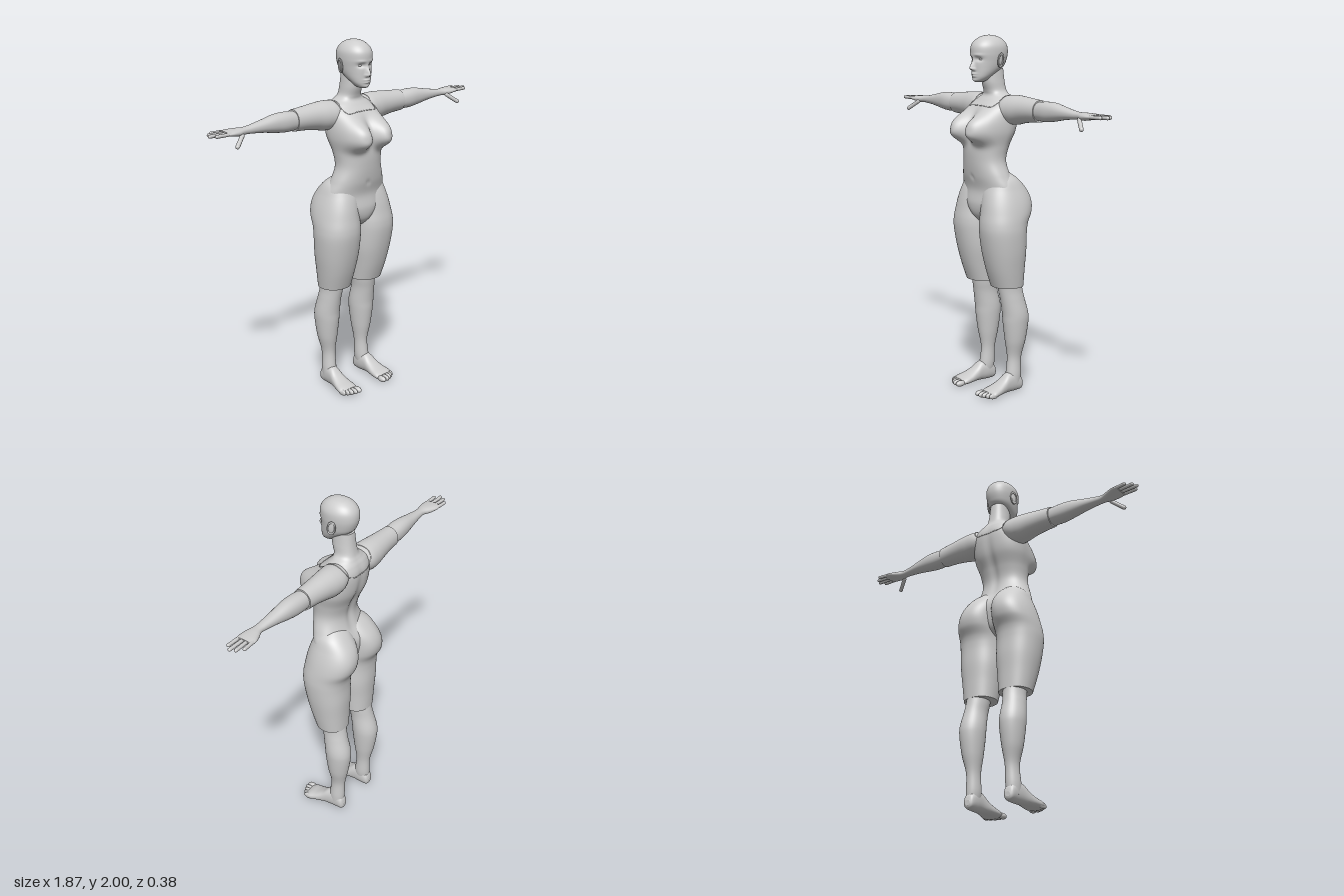
import * as THREE from 'three';

const grey = new THREE.MeshStandardMaterial({ color: 0xcccccc });
grey.name = 'plain grey';

// Catmull-Rom blend of the four neighbouring cross-sections
const blend = (a, b, c, d, s) => a.map((_, k) => 0.5 * (2 * b[k] + (c[k] - a[k]) * s
  + (2 * a[k] - 5 * b[k] + 4 * c[k] - d[k]) * s * s + (3 * b[k] - a[k] - 3 * c[k] + d[k]) * s ** 3));

// Smooth skin over rings [t, uMin, uMax, vMin, vMax]; (u, v, t) is (z, x, y), (y, z, x) or (x, y, z)
function loft(axis, rings, { n = 40, power = 2, steps = 8, deform = null } = {}) {
  const place = { y: (u, v, t) => [v, t, u], x: (u, v, t) => [t, u, v], z: (u, v, t) => [u, v, t] }[axis];
  const at = i => rings[Math.min(Math.max(i, 0), rings.length - 1)];
  const slices = [];
  for (let i = 0; i < rings.length - 1; i++)
    for (let s = 0; s < steps; s++) slices.push(blend(at(i - 1), at(i), at(i + 1), at(i + 2), s / steps));
  slices.push(at(rings.length - 1));
  const pos = [], idx = [];
  const round = q => Math.sign(q) * Math.abs(q) ** (2 / power);
  const addRing = ([t, u0, u1, v0, v1]) => {
    for (let j = 0; j < n; j++) {
      const a = j / n * Math.PI * 2;
      const p = new THREE.Vector3(...place((u0 + u1) / 2 + round(Math.cos(a)) * (u1 - u0) / 2,
        (v0 + v1) / 2 + round(Math.sin(a)) * (v1 - v0) / 2, t));
      if (deform) deform(p);
      pos.push(p.x, p.y, p.z);
    }
  };
  slices.forEach(addRing);
  for (let i = 0; i < slices.length - 1; i++)
    for (let j = 0; j < n; j++) {
      const a = i * n + j, b = i * n + (j + 1) % n;
      idx.push(a, b, a + n, b, b + n, a + n);
    }
  // flat end caps with their own vertices
  for (const end of [0, 1]) {
    const r = slices[end ? slices.length - 1 : 0], first = pos.length / 3;
    addRing(r);
    pos.push(...place((r[1] + r[2]) / 2, (r[3] + r[4]) / 2, r[0]));
    for (let j = 0; j < n; j++) {
      const a = first + j, b = first + (j + 1) % n;
      idx.push(...(end ? [a, b, first + n] : [b, a, first + n]));
    }
  }
  const g = new THREE.BufferGeometry();
  g.setAttribute('position', new THREE.Float32BufferAttribute(pos, 3));
  g.setIndex(idx);
  g.computeVertexNormals();
  return g;
}

const ellipsoid = (x, y, z, rx, ry, rz) =>
  new THREE.SphereGeometry(1, 20, 14).scale(rx, ry, rz).translate(x, y, z);

// Rounded finger between two points
function finger(a, b, r) {
  const A = new THREE.Vector3(...a), d = new THREE.Vector3(...b).sub(A), len = d.length();
  const g = new THREE.CapsuleGeometry(r, len - r, 6, 12);
  g.applyQuaternion(new THREE.Quaternion().setFromUnitVectors(new THREE.Vector3(0, 1, 0), d.clone().normalize()));
  return g.translate(...A.addScaledVector(d, 0.5).toArray());
}

function mirrored(g) {
  const m = g.clone(), p = m.attributes.position, nrm = m.attributes.normal, ix = m.index.array;
  for (let i = 0; i < p.count; i++) { p.setX(i, -p.getX(i)); nrm.setX(i, -nrm.getX(i)); }
  for (let i = 0; i < ix.length; i += 3) [ix[i], ix[i + 1]] = [ix[i + 1], ix[i]];
  return m;
}

const bump = (dx, dy, k = 2) => Math.exp(-(Math.hypot(dx, dy) ** k));

export function createModel() {
  const model = new THREE.Group();
  model.name = 'figure';
  const add = (name, g) => {
    const m = new THREE.Mesh(g, grey);
    m.name = name;
    model.add(m);
    return m;
  };
  const pair = (name, g) => [add(name + 'Left', g), add(name + 'Right', mirrored(g))];

  // Torso and neck, with bust and spine groove
  const torso = add('torso', loft('y', [
    [0.98, -0.06, 0.06, -0.03, 0.03], [1.02, -0.1, 0.095, -0.09, 0.09], [1.08, -0.12, 0.107, -0.16, 0.16],
    [1.16, -0.125, 0.098, -0.195, 0.195], [1.24, -0.085, 0.115, -0.168, 0.168], [1.32, -0.07, 0.125, -0.14, 0.14],
    [1.4, -0.09, 0.127, -0.145, 0.145], [1.48, -0.125, 0.112, -0.162, 0.162], [1.55, -0.14, 0.1, -0.165, 0.165],
    [1.61, -0.142, 0.075, -0.158, 0.158], [1.65, -0.13, 0.038, -0.13, 0.13], [1.675, -0.115, 0.018, -0.09, 0.09],
    [1.7, -0.103, 0.02, -0.062, 0.062], [1.75, -0.093, 0.035, -0.055, 0.055], [1.82, -0.085, 0.04, -0.05, 0.05],
  ], {
    n: 96, power: 2.2, deform: p => {
      const front = THREE.MathUtils.smoothstep(p.z, -0.01, 0.05), dy = p.y - 1.49;
      p.z += 0.1 * front * bump((Math.abs(p.x) - 0.088) / 0.077, dy / (dy > 0 ? 0.095 : 0.066), 3);
      if (p.z < -0.05) p.z += 0.012 * bump(p.x / 0.025, (p.y - 1.4) / 0.2);
      p.z -= 0.006 * front * bump(p.x / 0.012, (p.y - 1.23) / 0.015);
    },
  }));

  // Shorts legs, carrying the hips and seat
  pair('shortsLeg', loft('y', [
    [0.62, -0.127, 0.047, 0.025, 0.21], [0.72, -0.13, 0.08, 0.014, 0.227], [0.82, -0.135, 0.105, 0.002, 0.242],
    [0.92, -0.135, 0.122, 0, 0.25], [0.98, -0.145, 0.124, 0, 0.248], [1.04, -0.176, 0.116, 0, 0.24],
    [1.1, -0.182, 0.106, -0.002, 0.226], [1.16, -0.16, 0.09, -0.005, 0.205], [1.22, -0.11, 0.065, 0, 0.178],
    [1.26, -0.06, 0.03, 0.02, 0.13],
  ], { n: 56, power: 2.2 }));

  // Lower legs
  pair('lowerLeg', loft('y', [
    [0.04, -0.12, -0.03, 0.1, 0.165], [0.1, -0.125, -0.033, 0.09, 0.168], [0.2, -0.128, -0.043, 0.09, 0.164],
    [0.3, -0.15, -0.028, 0.076, 0.187], [0.4, -0.165, -0.015, 0.066, 0.2], [0.46, -0.163, -0.01, 0.064, 0.202],
    [0.54, -0.142, 0.003, 0.068, 0.192], [0.6, -0.13, 0.015, 0.064, 0.185], [0.68, -0.12, 0.03, 0.06, 0.185],
  ]));

  // Feet and toes
  pair('foot', loft('z', [
    [-0.132, 0.115, 0.145, 0.022, 0.05], [-0.12, 0.1, 0.16, 0.006, 0.085], [-0.08, 0.094, 0.166, 0.002, 0.12],
    [-0.03, 0.094, 0.172, 0.003, 0.112], [0.01, 0.09, 0.181, 0.003, 0.082], [0.05, 0.084, 0.192, 0.001, 0.06],
    [0.09, 0.081, 0.2, 0, 0.046], [0.115, 0.088, 0.19, 0.004, 0.034],
  ], { power: 2.3 }));
  [[0.098, 0.13, 0.017], [0.126, 0.13, 0.012], [0.148, 0.122, 0.012], [0.168, 0.111, 0.011], [0.186, 0.098, 0.011]]
    .forEach(([x, z, r], i) => pair('toe' + (i + 1), ellipsoid(x, 0.018, z, r, 0.017, 0.031)));

  // Shoulders with short sleeves, then bare forearms and palms
  const sleeves = pair('sleeve', loft('x', [
    [0.06, 1.57, 1.66, -0.11, 0], [0.12, 1.53, 1.678, -0.135, 0.025], [0.18, 1.522, 1.682, -0.135, 0.022],
    [0.25, 1.535, 1.678, -0.125, 0.012], [0.32, 1.545, 1.672, -0.115, 0.006], [0.39, 1.549, 1.667, -0.108, 0.002],
  ]));
  pair('forearm', loft('x', [
    [0.36, 1.56, 1.655, -0.1, -0.005], [0.45, 1.557, 1.663, -0.1, 0], [0.52, 1.565, 1.66, -0.094, -0.004],
    [0.6, 1.579, 1.645, -0.081, -0.01], [0.68, 1.588, 1.632, -0.068, -0.015], [0.72, 1.59, 1.628, -0.067, -0.014],
    [0.76, 1.588, 1.628, -0.085, -0.004], [0.8, 1.594, 1.626, -0.1, 0], [0.835, 1.6, 1.622, -0.1, -0.004],
  ], { power: 2.2 }));
  [[-0.09, -0.096, 0.89], [-0.064, -0.07, 0.922], [-0.04, -0.042, 0.935], [-0.014, -0.014, 0.912]]
    .forEach(([z0, z1, x], i) => pair('finger' + (i + 1), finger([0.81, 1.611, z0], [x - 0.005, 1.612, z1], 0.0095)));
  pair('thumb', finger([0.745, 1.597, -0.015], [0.81, 1.548, 0.024], 0.0115));

  // Head, with nose, brow, eye sockets, lips and chin
  add('head', loft('y', [
    [1.748, 0.04, 0.085, -0.018, 0.018], [1.757, 0.02, 0.097, -0.034, 0.034], [1.775, 0, 0.1, -0.05, 0.05],
    [1.8, -0.04, 0.101, -0.063, 0.063], [1.83, -0.083, 0.102, -0.073, 0.073], [1.86, -0.1, 0.102, -0.079, 0.079],
    [1.9, -0.11, 0.107, -0.084, 0.084], [1.94, -0.106, 0.104, -0.082, 0.082], [1.97, -0.086, 0.083, -0.066, 0.066],
    [1.99, -0.054, 0.051, -0.041, 0.041], [1.998, -0.022, 0.02, -0.017, 0.017], [2, -0.004, 0.004, -0.003, 0.003],
  ], {
    n: 128, power: 2.1, deform: p => {
      if (p.z < 0.03) return;
      const ax = Math.abs(p.x), { x, y } = p;
      p.z += 0.026 * bump(x / 0.012, (y - 1.822) / (y > 1.822 ? 0.035 : 0.01))
        + 0.007 * bump((ax - 0.011) / 0.008, (y - 1.817) / 0.008)
        + 0.009 * bump(x / 0.02, (y - 1.793) / 0.006) + 0.009 * bump(x / 0.018, (y - 1.78) / 0.006)
        + 0.004 * bump(x / 0.018, (y - 1.757) / 0.01)
        + 0.004 * bump((ax - 0.035) / 0.025, (y - 1.893) / 0.007)
        - 0.012 * bump((ax - 0.033) / 0.02, (y - 1.872) / 0.012);
    },
  }));
  pair('eye', ellipsoid(0.033, 1.872, 0.072, 0.016, 0.01, 0.015));
  pair('ear', ellipsoid(0, 0, 0, 0.008, 0.038, 0.02).rotateY(0.35).rotateX(-0.15).translate(0.087, 1.865, -0.012));
  pair('earRim', new THREE.TorusGeometry(0.02, 0.004, 8, 24).scale(1, 1.7, 1).rotateY(Math.PI / 2 + 0.35)
    .rotateX(-0.15).translate(0.092, 1.866, -0.014));

  // Neckline edge, laid onto the shoulders and chest
  const half = [[0.14, 1.76, -0.05], [0.135, 1.71, 0.1], [0.115, 1.65, 0.2], [0.05, 1.66, 0.22]];
  const back = [[0.07, 1.62, -0.3], [0.11, 1.65, -0.25], [0.135, 1.71, -0.17]];
  const flip = a => a.map(([x, y, z]) => [-x, y, z]).reverse();
  const outline = new THREE.CatmullRomCurve3([...half, ...flip(half), ...flip(back), ...back]
    .map(p => new THREE.Vector3(...p)), true);
  const ray = new THREE.Raycaster(), onBody = [];
  for (const p of outline.getSpacedPoints(72).slice(0, 72)) {
    const aim = new THREE.Vector3(p.x * 0.7, 1.59, -0.05).sub(p).normalize();
    ray.set(p, aim);
    const hit = ray.intersectObjects([torso, ...sleeves], false)[0];
    if (hit) onBody.push(hit.point);
  }
  if (onBody.length > 8)
    add('neckline', new THREE.TubeGeometry(new THREE.CatmullRomCurve3(onBody, true), 160, 0.0025, 6, true));

  return model;
}
